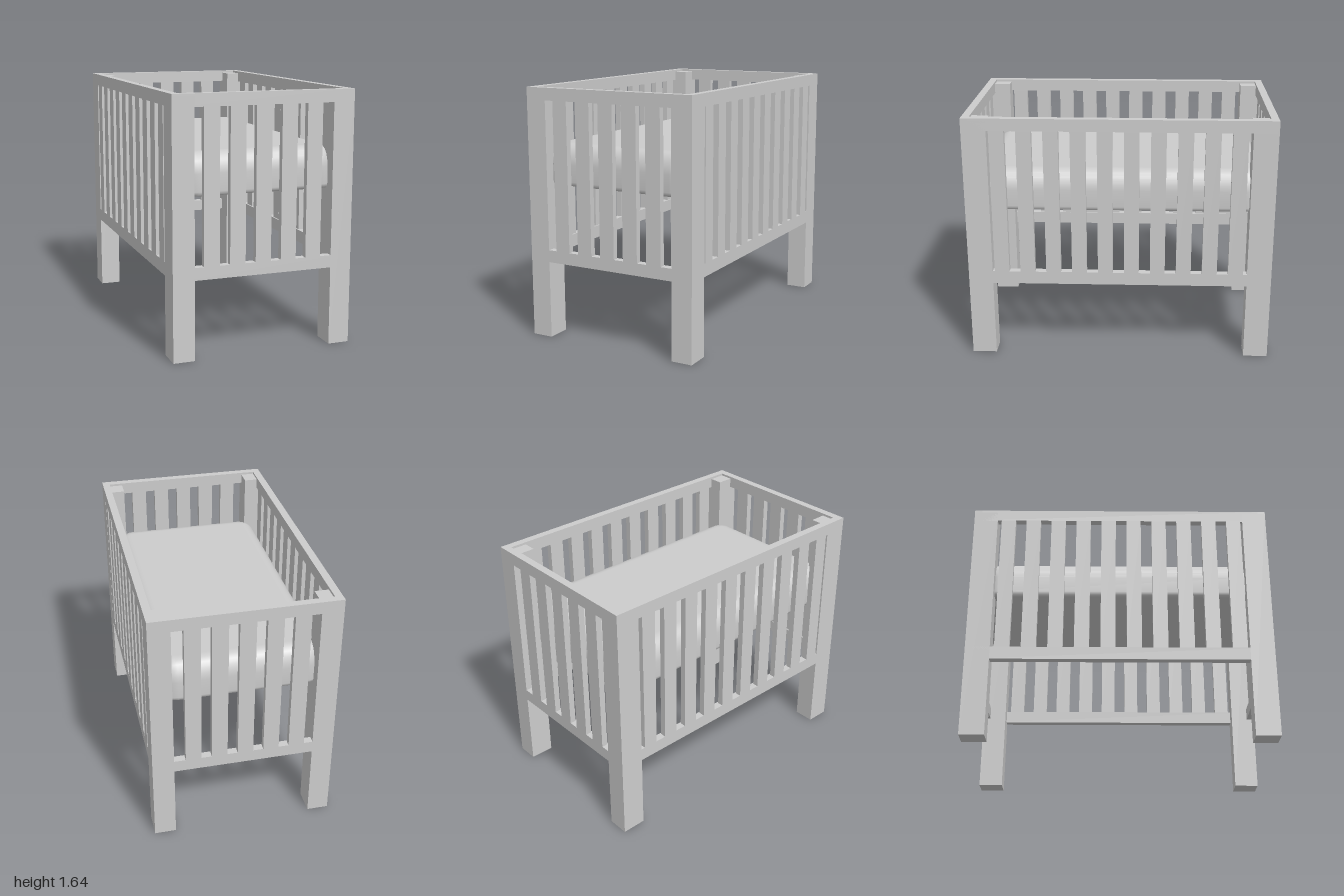
import * as THREE from 'three';

const X = 0.595, Z = 1, TOP = 1.64, RAIL = 0.05, SLAT = 0.04;

export function createModel() {
  const crib = new THREE.Group();
  crib.name = 'crib';
  const grey = new THREE.MeshStandardMaterial({ color: 0xcccccc });
  grey.name = 'lightGrey';

  // Box given by its lower and upper corners
  function box(name, [x0, y0, z0], [x1, y1, z1]) {
    const mesh = new THREE.Mesh(new THREE.BoxGeometry(x1 - x0, y1 - y0, z1 - z0), grey);
    mesh.position.set((x0 + x1) / 2, (y0 + y1) / 2, (z0 + z1) / 2);
    mesh.name = name;
    crib.add(mesh);
  }
  // Same box on the + or - side of an axis
  const span = (s, outer, depth) => (s > 0 ? [outer - depth, outer] : [-outer, -outer + depth]);

  // Corner posts, ending just below the rim
  for (const sx of [-1, 1]) for (const sz of [-1, 1]) {
    const [x0, x1] = span(sx, X, 0.14), [z0, z1] = span(sz, Z, 0.16);
    box('cornerPost', [x0, 0, z0], [x1, 1.625, z1]);
  }

  // End panels: two rails and five slats
  for (const s of [-1, 1]) {
    const [z0, z1] = span(s, Z, RAIL);
    box('endTopRail', [-X, 1.56, z0], [X, TOP, z1]);
    box('endBottomRail', [-X, 0.51, z0], [X, 0.59, z1]);
    const [a, b] = span(s, Z, SLAT);
    for (let i = 0; i < 5; i++) {
      const c = -0.008 + (i - 2) * 0.1685;
      box('endSlat', [c - 0.051, 0.59, a], [c + 0.051, 1.56, b]);
    }
  }

  // Long side panels: two rails and ten slats
  for (const s of [-1, 1]) {
    const [x0, x1] = span(s, X, RAIL);
    box('sideTopRail', [x0, 1.56, -Z + RAIL], [x1, TOP, Z - RAIL]);
    box('sideBottomRail', [x0, 0.515, -Z + RAIL], [x1, 0.6, Z - RAIL]);
    const [a, b] = span(s, X, SLAT);
    for (let i = 0; i < 10; i++) {
      const c = 0.777 - i * 0.1712;
      box('sideSlat', [a, 0.6, c - 0.049], [b, 1.56, c + 0.049]);
    }
  }

  // Mattress: rounded rectangles stacked as [inset, height]
  const profile = [[0.03, 1.01], [0.022, 1.011], [0.006, 1.02], [0, 1.04], [0, 1.15], [0.006, 1.19],
    [0.02, 1.228], [0.04, 1.256], [0.065, 1.273], [0.09, 1.279], [0.11, 1.28]];
  const steps = 8, n = 4 * (steps + 1), pos = [], idx = [];
  for (const [inset, y] of profile) {
    const hx = 0.535 - inset, hz = 0.94 - inset, r = Math.max(0.13 - inset, 0.02);
    for (let q = 0; q < 4; q++) {
      const sx = q === 0 || q === 3 ? 1 : -1, sz = q < 2 ? 1 : -1;
      for (let k = 0; k <= steps; k++) {
        const a = (q + k / steps) * Math.PI / 2;
        pos.push(sx * (hx - r) + r * Math.cos(a), y, sz * (hz - r) + r * Math.sin(a));
      }
    }
  }
  const last = profile.length - 1;
  for (let j = 0; j < last; j++) for (let i = 0; i < n; i++) {
    const a = j * n + i, b = j * n + (i + 1) % n;
    idx.push(a, a + n, b, b, a + n, b + n);
  }
  const bottom = pos.length / 3, top = bottom + 1;
  pos.push(0, 1.01, 0, 0, 1.28, 0);
  for (let i = 0; i < n; i++) {
    const k = (i + 1) % n;
    idx.push(bottom, i, k, top, last * n + k, last * n + i);
  }
  const geo = new THREE.BufferGeometry();
  geo.setAttribute('position', new THREE.Float32BufferAttribute(pos, 3));
  geo.setIndex(idx);
  geo.computeVertexNormals();
  const mattress = new THREE.Mesh(geo, grey);
  mattress.name = 'mattress';
  crib.add(mattress);

  return crib;
}
